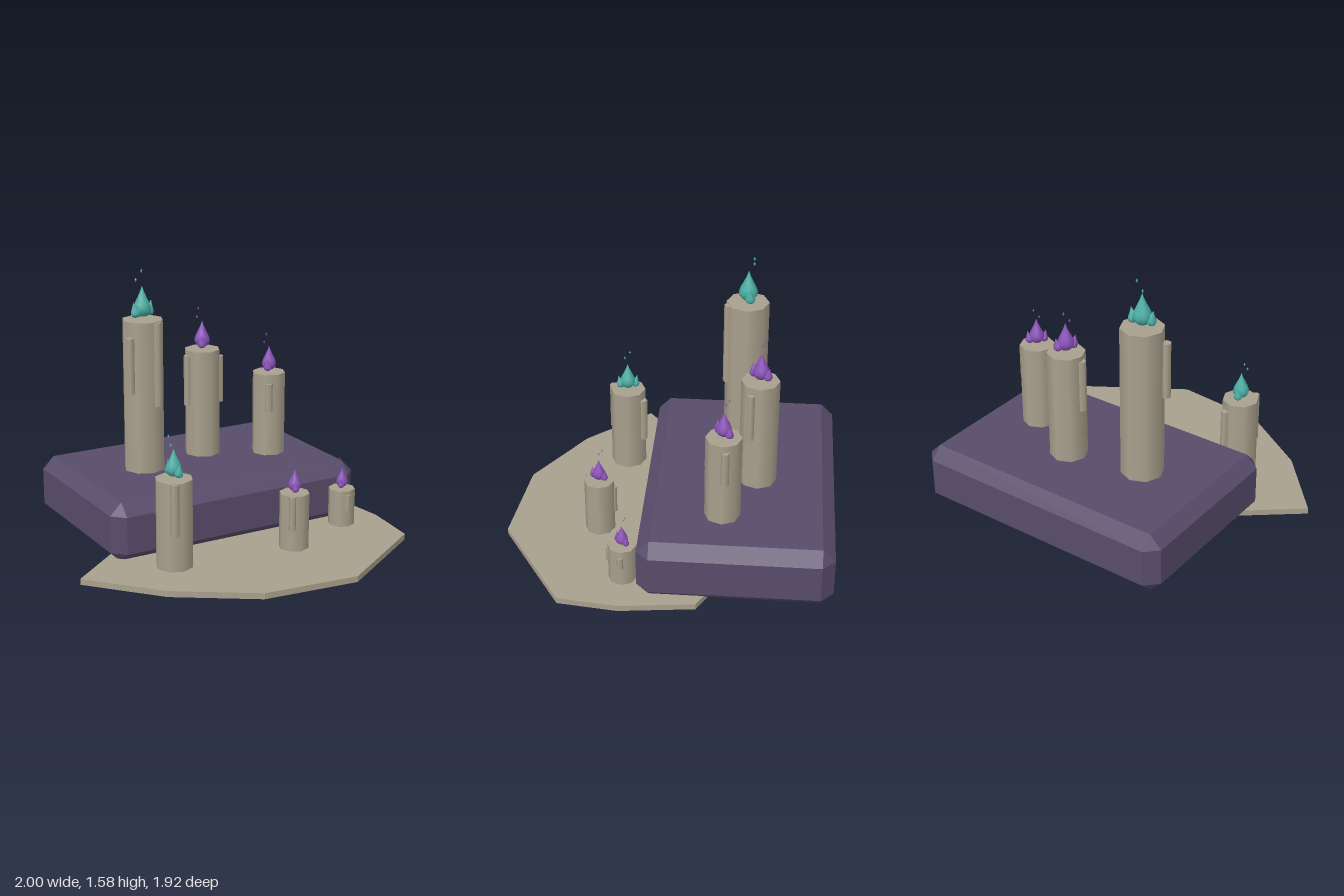
import * as THREE from 'three';
import { ConvexGeometry } from 'three/addons/geometries/ConvexGeometry.js';

const mat = (color) => new THREE.MeshStandardMaterial({ color });
const wax = mat(0xa9a08d);
const stone = mat(0x584c6a);
const teal = mat(0x4aaea4);
const purple = mat(0x8a52b8);

function add(parent, name, geometry, material, x = 0, y = 0, z = 0) {
  const mesh = new THREE.Mesh(geometry, material);
  mesh.name = name;
  mesh.position.set(x, y, z);
  parent.add(mesh);
  return mesh;
}

// Box with all edges and corners cut at 45 degrees
function chamferedBox(w, h, d, c) {
  const points = [];
  for (const sx of [-1, 1]) for (const sy of [-1, 1]) for (const sz of [-1, 1]) {
    for (let axis = 0; axis < 3; axis++) {
      const half = [w / 2, h / 2, d / 2].map((v, i) => (i === axis ? v : v - c));
      points.push(new THREE.Vector3(sx * half[0], sy * half[1], sz * half[2]));
    }
  }
  return new ConvexGeometry(points);
}

// Teardrop of unit height standing on its base
const teardrop = new THREE.LatheGeometry(
  [[0, 0], [0.16, 0.03], [0.27, 0.14], [0.3, 0.27], [0.25, 0.43], [0.14, 0.65], [0.06, 0.83], [0, 1]]
    .map(([x, y]) => new THREE.Vector2(x, y)), 8);

// Flame sized by the candle radius r: main tongue, two side tongues, two sparks
function makeFlame(r, material, yaw) {
  const flame = new THREE.Group();
  flame.name = 'flame';
  add(flame, 'mainTongue', teardrop, material, 0, 0.12 * r, 0).scale.set(1.5 * r, 1.48 * r, 1.5 * r);
  for (const side of [-1, 1]) {
    const tongue = add(flame, 'sideTongue', teardrop, material, side * 0.36 * r, 0.14 * r, side * -0.1 * r);
    tongue.scale.set(0.8 * r, 0.75 * r, 0.8 * r);
    tongue.rotation.z = side * -0.22;
  }
  for (const [x, y, z] of [[0.1, 2.24, -0.24], [-0.2, 1.84, -0.24]]) {
    add(flame, 'spark', new THREE.OctahedronGeometry(0.06 * r), material, x * r, y * r, z * r).scale.y = 1.8;
  }
  flame.rotation.y = yaw;
  return flame;
}

export function createModel() {
  const model = new THREE.Group();
  model.name = 'candleDisplay';

  // Chamfered stone block
  add(model, 'stoneBlock', chamferedBox(1.65, 0.367, 1.1, 0.072), stone, 0.09, 0.1865, -0.41);

  // Irregular floor slab, drawn in x and -z, then laid flat
  const outline = [[-1, 0.23], [-0.66, 0.615], [-0.22, 0.9], [0.35, 0.957], [0.96, 0.575],
    [1, 0.23], [0.95, -0.2], [0.72, -0.33], [0, -0.34], [-0.5, -0.17]];
  const slab = new THREE.ExtrudeGeometry(
    new THREE.Shape(outline.map(([x, z]) => new THREE.Vector2(x, -z))),
    { depth: 0.035, bevelEnabled: false });
  slab.rotateX(-Math.PI / 2);
  add(model, 'floorSlab', slab, wax);

  // Each candle: position, radius, height range, flame; drips as [x, z, bottom, top]
  const candles = [
    { x: -0.27, z: -0.413, r: 0.125, y0: 0.37, y1: 1.29, flame: teal, yaw: 0,
      drips: [[-0.385, -0.35, 0.865, 1.2], [-0.23, -0.305, 0.78, 1.285]] },
    { x: 0.184, z: -0.508, r: 0.11, y0: 0.37, y1: 1.035, flame: purple, yaw: 0.8,
      drips: [[0.08, -0.502, 0.69, 1.005], [0.278, -0.458, 0.7, 0.99]] },
    { x: 0.552, z: -0.322, r: 0.102, y0: 0.37, y1: 0.885, flame: purple, yaw: 0.6,
      drips: [[0.503, -0.24, 0.655, 0.83], [0.648, -0.335, 0.635, 0.845]] },
    { x: -0.458, z: 0.318, r: 0.108, y0: 0.035, y1: 0.555, flame: teal, yaw: 1.5,
      drips: [[-0.503, 0.412, 0.25, 0.553], [-0.415, 0.22, 0.22, 0.5]] },
    { x: 0.278, z: 0.411, r: 0.088, y0: 0.035, y1: 0.37, flame: purple, yaw: 0.9,
      drips: [[0.225, 0.475, 0.165, 0.368], [0.265, 0.328, 0.15, 0.32]] },
    { x: 0.737, z: 0.228, r: 0.08, y0: 0.035, y1: 0.26, flame: purple, yaw: 0.6,
      drips: [[0.73, 0.303, 0.145, 0.235], [0.81, 0.232, 0.15, 0.22]] },
  ];
  const column = (r, h, sides) => new THREE.CylinderGeometry(r, r, h, sides);
  for (const c of candles) {
    const candle = new THREE.Group();
    candle.name = 'candle';
    add(candle, 'waxBody', column(c.r, c.y1 - c.y0, 8), wax, c.x, (c.y0 + c.y1) / 2, c.z);
    for (const [x, z, bottom, top] of c.drips) {
      const drip = add(candle, 'waxDrip', column(0.23 * c.r, top - bottom, 6), wax, x, (bottom + top) / 2, z);
      drip.rotation.y = Math.atan2(x - c.x, z - c.z) + Math.PI / 6;
    }
    const flame = makeFlame(c.r, c.flame, c.yaw);
    flame.position.set(c.x, c.y1, c.z);
    candle.add(flame);
    model.add(candle);
  }
  return model;
}
